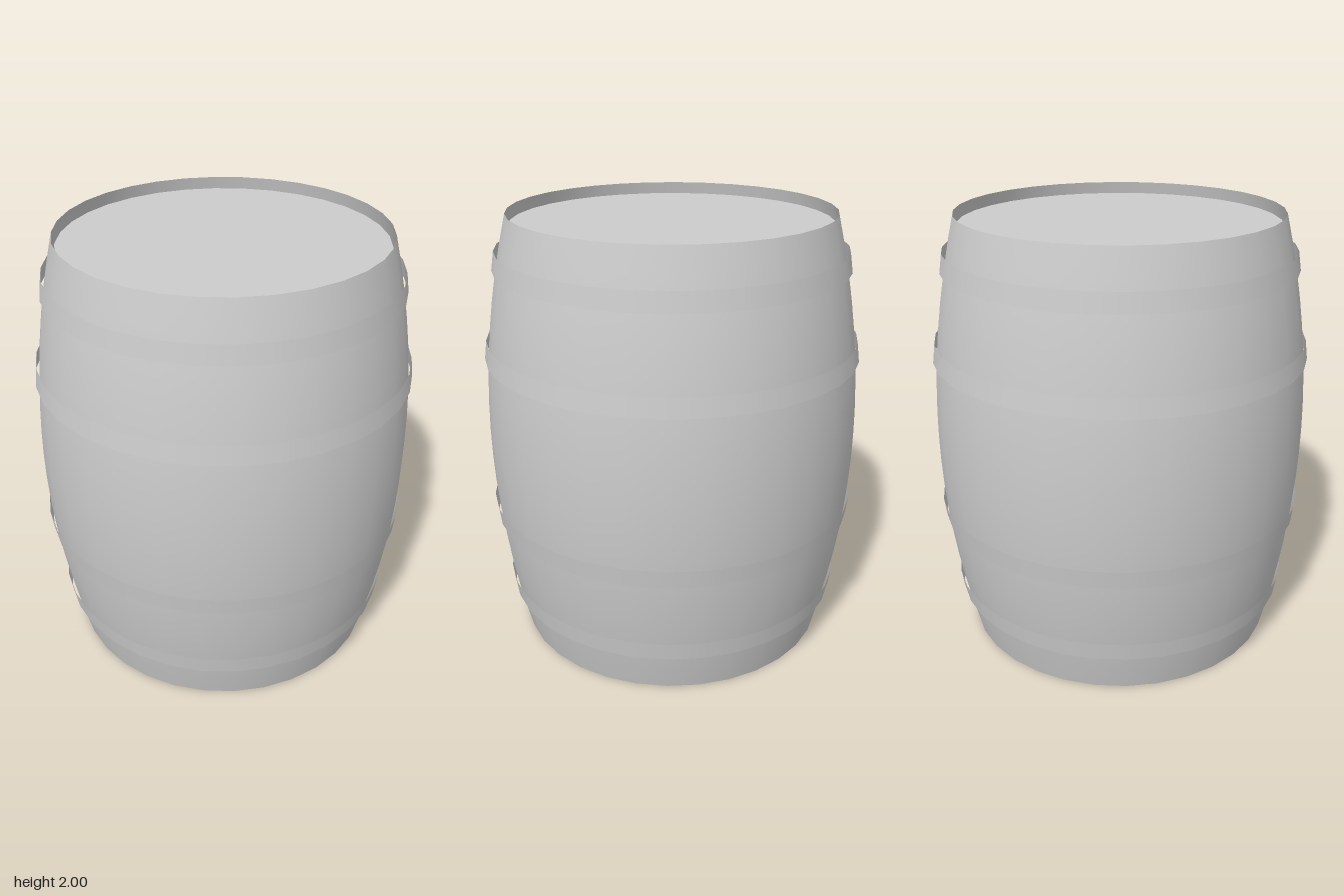
import * as THREE from 'three';

const SIDES = 32;

// Bulging stave profile: radius at a given height
const wallRadius = (y) => 0.857 - 0.128 * (y - 1) ** 2;

export function createModel() {
  const barrel = new THREE.Group();
  barrel.name = 'barrel';

  const grey = new THREE.MeshStandardMaterial({ color: 0xcccccc, side: THREE.DoubleSide });
  grey.name = 'plain grey';

  const add = (name, geometry, y = 0) => {
    const mesh = new THREE.Mesh(geometry, grey);
    mesh.name = name;
    mesh.position.y = y;
    barrel.add(mesh);
    return mesh;
  };

  // Thin curved wall, open at both ends
  const profile = [];
  for (let i = 0; i <= 16; i++) {
    const y = i / 8;
    profile.push(new THREE.Vector2(wallRadius(y), y));
  }
  add('wall', new THREE.LatheGeometry(profile, SIDES));

  // Recessed lids, leaving a narrow gap to the wall
  add('topLid', new THREE.CircleGeometry(0.72, SIDES).rotateX(-Math.PI / 2), 1.947);
  add('bottomLid', new THREE.CircleGeometry(0.72, SIDES).rotateX(Math.PI / 2), 0.053);

  // Four hoops: open bands, each wider toward the middle of the barrel
  const hoops = [
    { name: 'outerHoop', y: 0.797, narrow: 0.788, wide: 0.801 },
    { name: 'innerHoop', y: 0.395, narrow: 0.846, wide: 0.857 },
  ];
  for (const { name, y, narrow, wide } of hoops) {
    add(name + 'Top', new THREE.CylinderGeometry(narrow, wide, 0.085, SIDES, 1, true), 1 + y);
    // Lower bands sit slightly closer to the middle than the upper ones
    add(name + 'Bottom', new THREE.CylinderGeometry(wide, narrow, 0.085, SIDES, 1, true),
      name === 'outerHoop' ? 0.23 : 0.63);
  }

  return barrel;
}
